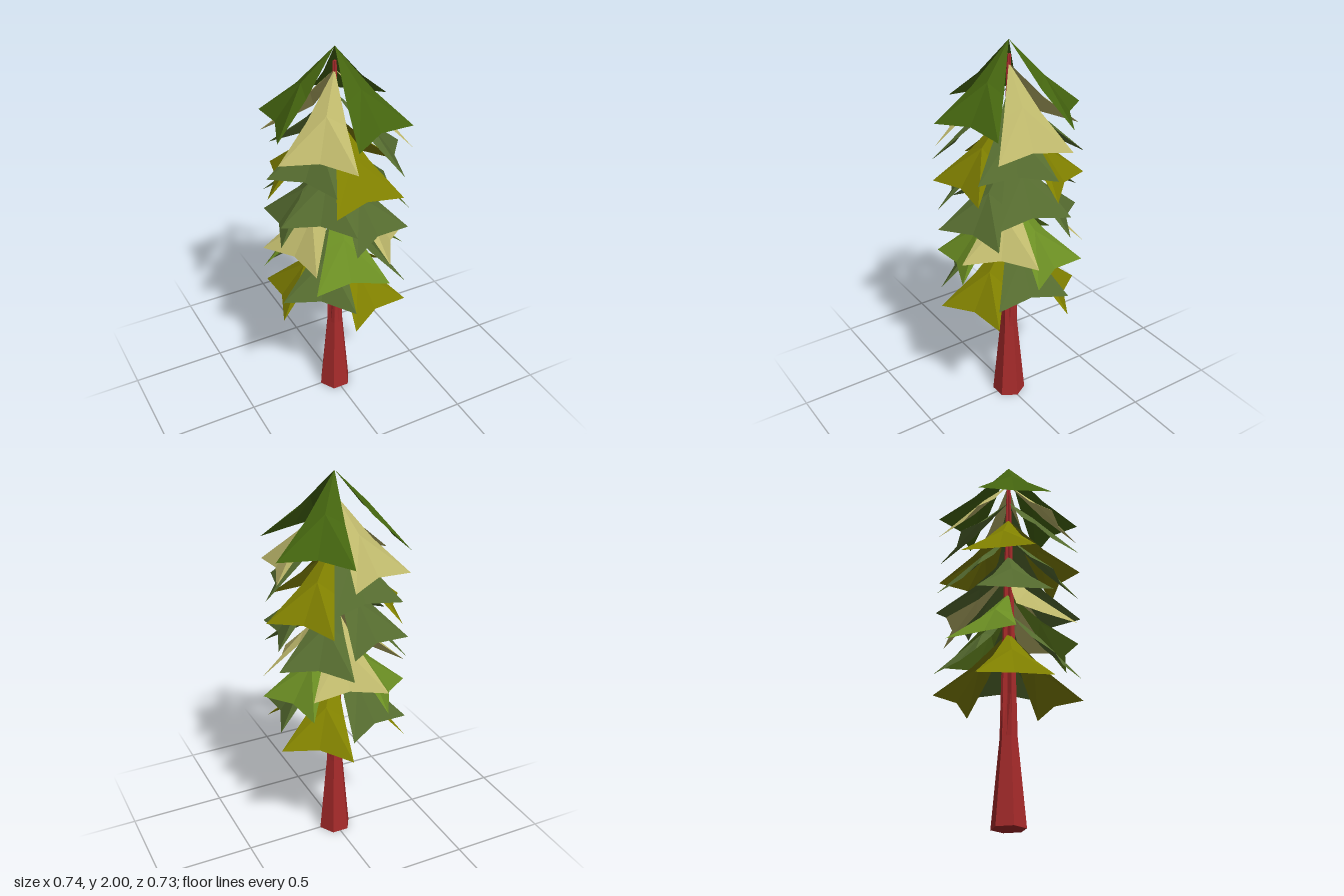
import * as THREE from 'three';

// Bough pointing along +x, apex at y = 0: apex, bent middle row, outer row with a notch
function boughGeometry() {
  const points = [
    0, 0, 0,
    0.161, -0.2, 0.093, 0.161, -0.16, 0, 0.161, -0.2, -0.093,
    0.322, -0.353, 0.186, 0.287, -0.335, 0, 0.322, -0.353, -0.186,
  ];
  const geometry = new THREE.BufferGeometry();
  geometry.setAttribute('position', new THREE.Float32BufferAttribute(points, 3));
  geometry.setIndex([0, 1, 2, 0, 2, 3, 1, 4, 2, 4, 5, 2, 2, 5, 6, 2, 6, 3]);
  geometry.computeVertexNormals();
  return geometry;
}

// Six-sided trunk: flared foot, then a thin tapering stem with grooved faces
function trunkGeometry() {
  const rings = [ // height, corner radius, face depth relative to the corners
    [0, 0.087, 0.866], [0.44, 0.045, 0.866], [0.66, 0.04, 0.6], [1.93, 0.01, 0.6],
  ];
  const geometry = new THREE.CylinderGeometry(1, 1, 3, 12, 3);
  const p = geometry.attributes.position;
  for (let i = 0; i < p.count; i++) {
    const [height, radius, depth] = rings[Math.round(p.getY(i) + 1.5)];
    const step = Math.round(Math.atan2(p.getX(i), p.getZ(i)) / (Math.PI / 6));
    const r = radius * (step % 2 === 0 ? depth : 1);
    p.setXYZ(i, p.getX(i) * r, height, p.getZ(i) * r);
  }
  geometry.computeVertexNormals();
  return geometry;
}

export function createModel() {
  const tree = new THREE.Group();
  tree.name = 'coniferTree';

  const material = (color) => new THREE.MeshStandardMaterial({
    color, flatShading: true, side: THREE.DoubleSide,
  });

  const trunk = new THREE.Mesh(trunkGeometry(), material(0xa52a2a));
  trunk.name = 'trunk';
  tree.add(trunk);

  const darkGreen = material(0x44640f);
  const khaki = material(0xbdb76b);
  const mossGreen = material(0x556b2f);
  const olive = material(0x808000);
  const leafGreen = material(0x6b8e23);

  // Tiers from top to bottom: material and turn in degrees
  const tiers = [
    [darkGreen, 49], [khaki, 109], [mossGreen, 94], [olive, 34], [mossGreen, 109],
    [mossGreen, 49], [khaki, 79], [leafGreen, 19], [mossGreen, 109], [olive, 49],
  ];
  const bough = boughGeometry();
  tiers.forEach(([mat, turn], i) => {
    const tier = new THREE.Group();
    tier.name = `branchTier${i + 1}`;
    tier.position.y = 2 - i * 0.1115;
    for (let k = 0; k < 3; k++) {
      const mesh = new THREE.Mesh(bough, mat);
      mesh.name = 'bough';
      mesh.rotation.y = THREE.MathUtils.degToRad(turn + k * 120);
      tier.add(mesh);
    }
    tree.add(tier);
  });

  return tree;
}
